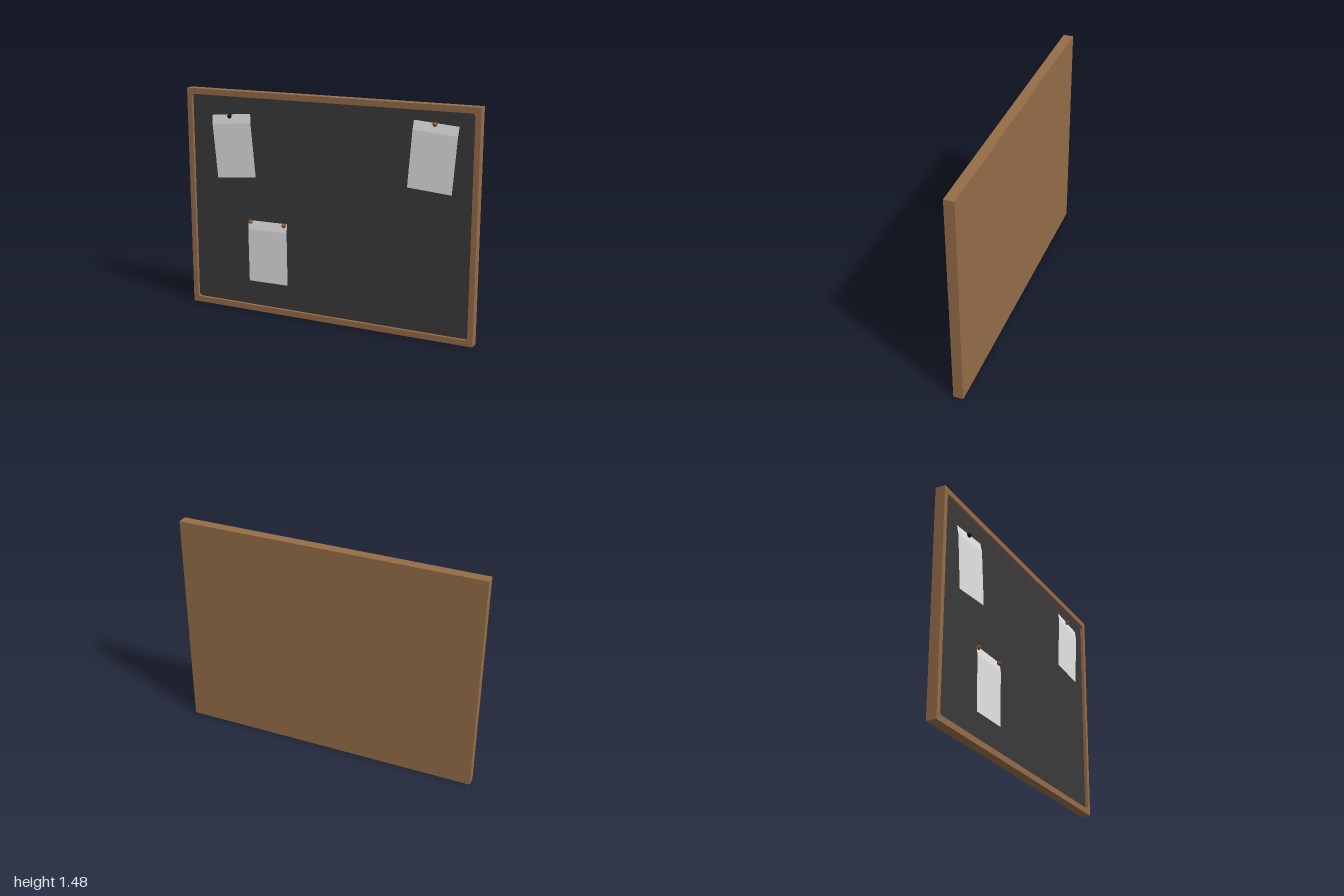
import * as THREE from 'three';

const W = 2, H = 1.475, BACK = -0.035, FRONT = 0.03, FACE = 0.01;

const material = (name, color, extra = {}) => {
  const m = new THREE.MeshStandardMaterial({ color, ...extra });
  m.name = name;
  return m;
};

// Rounded rectangle path centred on the origin
function roundedRect(path, w, h, r) {
  const x = w / 2, y = h / 2;
  path.moveTo(-x + r, -y);
  path.lineTo(x - r, -y);
  path.absarc(x - r, -y + r, r, -Math.PI / 2, 0);
  path.lineTo(x, y - r);
  path.absarc(x - r, y - r, r, 0, Math.PI / 2);
  path.lineTo(-x + r, y);
  path.absarc(-x + r, y - r, r, Math.PI / 2, Math.PI);
  path.lineTo(-x, -y + r);
  path.absarc(-x + r, -y + r, r, Math.PI, Math.PI * 1.5);
  return path;
}

// Sheet with a top strip that leans back to the board
function paperGeometry(w, h) {
  const rows = [[h / 2, 0.001], [h / 2 - 0.06, 0.01], [-h / 2, 0.01]];
  let g = new THREE.PlaneGeometry(w, h, 1, rows.length - 1);
  const p = g.attributes.position;
  for (let i = 0; i < p.count; i++) {
    const [y, z] = rows[Math.floor(i / 2)];
    p.setY(i, y);
    p.setZ(i, z);
  }
  g = g.toNonIndexed();
  g.computeVertexNormals();
  return g;
}

export function createModel() {
  const group = new THREE.Group();
  group.name = 'noticeBoard';
  const wood = material('wood', 0x966d48);
  const slate = material('slate', 0x3a3a3a);
  const white = material('paper', 0xe6e6e6, { side: THREE.DoubleSide });
  const brownPin = material('brownPin', 0x80552f);
  const blackPin = material('blackPin', 0x141414);

  const add = (name, geometry, mat, x, y, z) => {
    const mesh = new THREE.Mesh(geometry, mat);
    mesh.name = name;
    mesh.position.set(x, y, z);
    group.add(mesh);
    return mesh;
  };

  // Frame with a rounded opening, and its closed back
  const outline = new THREE.Shape();
  roundedRect(outline, W, H, 0.0005);
  outline.holes.push(roundedRect(new THREE.Path(), W - 0.07, H - 0.076, 0.018));
  const backDepth = 0.03;
  const frame = new THREE.ExtrudeGeometry(outline, {
    depth: FRONT - BACK - backDepth, bevelEnabled: false, curveSegments: 6,
  });
  add('frame', frame, wood, 0, H / 2, BACK + backDepth);
  add('backPanel', new THREE.BoxGeometry(W, H, backDepth), wood, 0, H / 2, BACK + backDepth / 2);

  // Recessed writing surface
  const surface = roundedRect(new THREE.Shape(), W - 0.07, H - 0.076, 0.018);
  add('boardSurface', new THREE.ShapeGeometry(surface, 6), slate, 0, H / 2, FACE);

  // Pinned sheets: centre and tilt in degrees
  const sheet = paperGeometry(0.286, 0.417);
  [[-0.662, 1.11, 5.2], [0.708, 1.154, -4.4], [-0.42, 0.415, 0.6]].forEach(([x, y, tilt], i) => {
    add('paper' + (i + 1), sheet, white, x, y, FACE).rotation.z = THREE.MathUtils.degToRad(tilt);
  });

  // Domed pins
  const dome = new THREE.SphereGeometry(0.015, 14, 8, 0, Math.PI * 2, 0, Math.PI / 2);
  dome.rotateX(Math.PI / 2).scale(1, 1, 1.6);
  [[-0.69, 1.305, blackPin], [0.715, 1.355, brownPin], [-0.55, 0.613, brownPin], [-0.3, 0.613, brownPin]]
    .forEach(([x, y, mat], i) => add('pin' + (i + 1), dome, mat, x, y, FACE + 0.001));

  return group;
}
